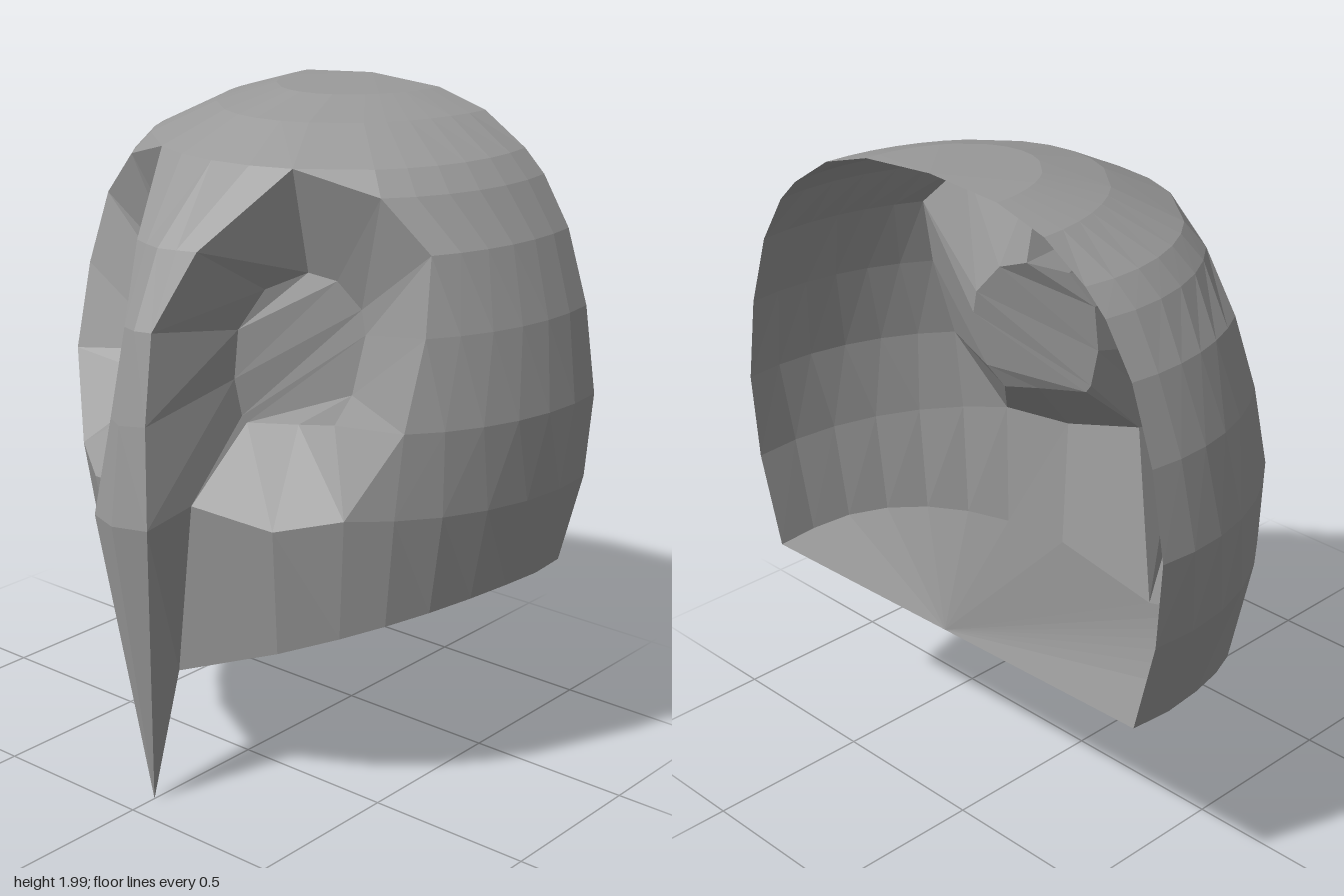
import * as THREE from 'three';

const BACK = -0.545; // plane of the open back
const MID = -0.42;   // widest plane of the shell
const SEG = 6;       // columns from an eye rim to the back edge

// Collects flat facets, mirrored over x
function facets(name, draw) {
  const pos = [];
  const put = (s, p) => {
    const x = s * p[0];
    pos.push(x, p[1], p[2] - 0.026 * x * Math.max(0, p[2] / BACK)); // slightly skewed back edge
  };
  // Strip between two rows of points; degenerate triangles are skipped
  const strip = (a, b) => {
    for (let i = 0; i < a.length - 1; i++) {
      for (const t of [[a[i], b[i], b[i + 1]], [a[i], b[i + 1], a[i + 1]]]) {
        if (t[0] === t[1] || t[1] === t[2] || t[0] === t[2]) continue;
        t.forEach(p => put(1, p));
        [t[0], t[2], t[1]].forEach(p => put(-1, p));
      }
    }
  };
  draw(strip);
  const geo = new THREE.BufferGeometry();
  geo.setAttribute('position', new THREE.Float32BufferAttribute(pos, 3));
  geo.computeVertexNormals();
  const mesh = new THREE.Mesh(geo, new THREE.MeshStandardMaterial({
    color: 0x9a9a9a, flatShading: true, side: THREE.DoubleSide,
  }));
  mesh.name = name;
  return mesh;
}

// Rows are half ellipses: x radius, z radius, height, centre z, x of the eye rim
const onRow = ([rx, rz, y, c], a) => [rx * Math.sin(a), y, c + rz * Math.cos(a)];
const startAngle = r => Math.asin(r[4] / r[0]);
const endAngle = r => Math.acos((BACK - r[3]) / r[1]);
const anglesFrom = (a0, a1) => Array.from({ length: SEG + 1 }, (_, i) => a0 + (a1 - a0) * i / SEG);
const fan = (row, p) => [row, row.map(() => p)];

export function createModel() {
  const group = new THREE.Group();

  const rows = [
    [0.55, 0.57, 1.845, MID, 0.24],
    [0.615, 0.62, 1.78, MID, 0.46],
    [0.70, 0.72, 1.64, MID, 0.60],
    [0.77, 0.74, 1.43, MID, 0.63],
    [0.81, 0.77, 1.18, MID, 0.62],
    [0.79, 0.77, 0.93, MID, 0.50],
  ];
  const sideAngles = rows.map(r => anglesFrom(startAngle(r), endAngle(r)));
  const sideRows = rows.map((r, i) => sideAngles[i].map(a => onRow(r, a)));

  // Crown rings, sharing their columns with the brow
  const browAngle = startAngle(rows[0]);
  const browEnd = endAngle(rows[0]);
  const crownAngles = [0, browAngle / 2, browAngle, ...anglesFrom(startAngle(rows[1]), browEnd)];
  const crown = [[0.24, 0.32, 1.983, BACK], [0.40, 0.51, 1.935, BACK], rows[0]]
    .map(r => crownAngles.map(a => onRow(r, a * endAngle(r) / browEnd)));
  const brow = crown[2];

  // Ridge between the eyes: centre points and inner rim points, top to bottom
  const ridge = [[0, 1.64, 0.365], [0, 1.43, 0.46], [0, 1.18, 0.525], [0, 0.9, 0.56]];
  const innerRim = [[0.11, 1.64, 0.33], [0.05, 1.43, 0.445], [0.065, 1.18, 0.49], [0.10, 0.9, 0.525]];

  // Lower eye rim and lower edge
  const cheek = [0.11, 0.93, 0.36];
  const lowRim = [0.34, 0.89, 0.285];
  const lowRow = [cheek, lowRim, ...sideRows[5]];
  const beakBase = [0, 0.38, 0.30];
  const edgeRow = [0.72, 0.72, 0, MID];
  const edgeScale = endAngle(edgeRow) / endAngle(rows[5]);
  const edge = [beakBase, ...[Math.asin(0.34 / 0.79), ...sideAngles[5]].map(a => {
    const [x, , z] = onRow(edgeRow, a * edgeScale);
    return [x, Math.min(0.655, 0.38 + x * 0.39), z];
  })];

  // Domed shell
  group.add(facets('shell', strip => {
    const top = [0, 2, BACK];
    strip(crown[0].map(() => top), crown[0]);
    strip(crown[0], crown[1]);
    strip(crown[1], brow);
    strip(brow.slice(2), [sideRows[1][0], ...sideRows[1]]);
    for (let i = 1; i < 5; i++) strip(sideRows[i], sideRows[i + 1]);
    strip(lowRow, edge);
    // forehead and ridge
    const mid = [0.055, 1.64, 0.35];
    strip(brow.slice(0, 3), [ridge[0], mid, innerRim[0]]);
    strip([ridge[0], mid, innerRim[0]], [ridge[1], innerRim[1], innerRim[1]]);
    for (let i = 1; i < 3; i++) strip([ridge[i], innerRim[i]], [ridge[i + 1], innerRim[i + 1]]);
  }));

  // Recessed eye sockets with a small tilted floor
  group.add(facets('eyeSockets', strip => {
    const rim = [brow[2], ...sideRows.slice(1).map(r => r[0]), lowRim, cheek, ...[...innerRim].reverse()];
    const floor = [
      [0.22, 1.54, 0], [0.29, 1.52, -0.04], [0.345, 1.44, -0.08], [0.36, 1.37, -0.08],
      [0.34, 1.2, -0.05], [0.32, 1.12, 0], [0.24, 1.12, 0.06], [0.12, 1.12, 0.14],
      [0.11, 1.14, 0.15], [0.10, 1.25, 0.17], [0.105, 1.39, 0.16], [0.15, 1.5, 0.1],
    ];
    strip([...rim, rim[0]], [...floor, floor[0]]);
    strip(floor.slice(0, 6), floor.slice(6).reverse());
  }));

  // Long pointed beak, open behind
  group.add(facets('beak', strip => {
    const tip = [0, 0.01, 0.41];
    strip([ridge[3], innerRim[3]], [tip, tip]);
    strip([innerRim[3], cheek], [tip, beakBase]);
  }));

  // Underside, fanned from the middle of the back edge
  group.add(facets('underside', strip => {
    strip(...fan(edge, [0, 0.655, BACK]));
  }));

  return group;
}
